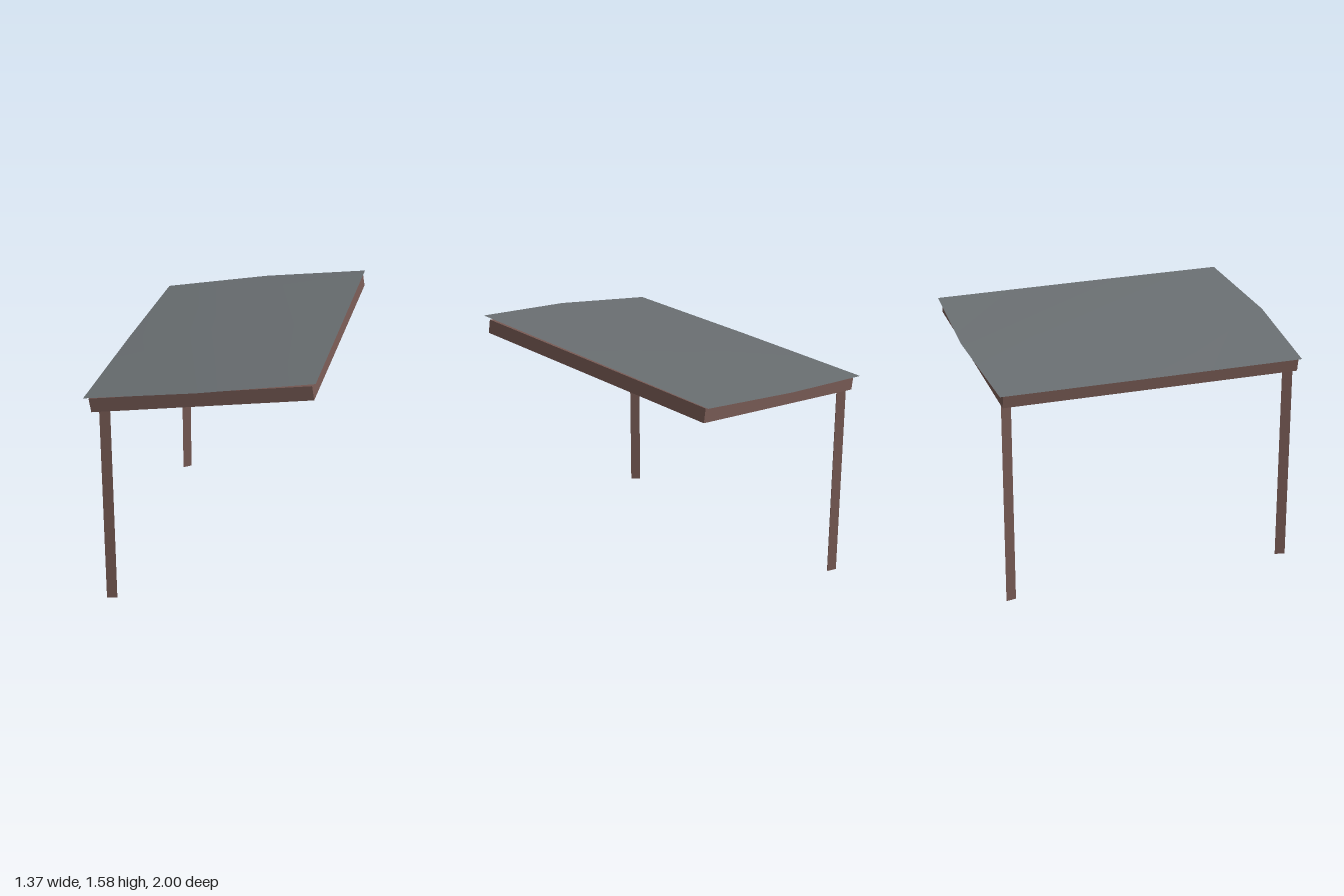
import * as THREE from 'three';

const wood = new THREE.MeshStandardMaterial({ color: 0x775a54, flatShading: true });
wood.name = 'brownWood';
const sheet = new THREE.MeshStandardMaterial({ color: 0x696e71, side: THREE.DoubleSide });
sheet.name = 'greySheet';

function addMesh(parent, name, geometry, material, x = 0, y = 0, z = 0) {
  const mesh = new THREE.Mesh(geometry, material);
  mesh.name = name;
  mesh.position.set(x, y, z);
  parent.add(mesh);
  return mesh;
}

// Thin sheet slightly bowed along its length and width: rows run low to high
function roofGeometry() {
  const points = [
    [-0.68, 1.34, -0.965], [-0.685, 1.342, 0], [-0.68, 1.342, 0.945],
    [0, 1.457, -1], [0, 1.478, 0], [0, 1.467, 1],
    [0.665, 1.56, -0.965], [0.673, 1.57, 0], [0.68, 1.577, 0.965],
  ];
  const index = [];
  for (let i = 0; i < 2; i++) {
    for (let j = 0; j < 2; j++) {
      const a = i * 3 + j, b = a + 1, c = a + 3, d = a + 4;
      index.push(a, b, d, a, d, c);
    }
  }
  const geometry = new THREE.BufferGeometry();
  geometry.setAttribute('position', new THREE.Float32BufferAttribute(points.flat(), 3));
  geometry.setIndex(index);
  geometry.computeVertexNormals();
  return geometry;
}

export function createModel() {
  const model = new THREE.Group();
  model.name = 'leanToShelter';

  addMesh(model, 'roofSheet', roofGeometry(), sheet);

  // Tilted rectangular frame
  const frame = new THREE.Group();
  frame.name = 'roofFrame';
  frame.position.set(0.01, 1.4025, 0);
  frame.rotation.z = Math.atan2(0.21, 1.305);
  model.add(frame);
  const length = 1.322, width = 1.875, height = 0.086, thick = 0.033;
  for (const s of [-1, 1]) {
    addMesh(frame, s < 0 ? 'lowBeam' : 'highBeam',
      new THREE.BoxGeometry(thick, height, width), wood, s * (length - thick) / 2, 0, 0);
    addMesh(frame, s < 0 ? 'backBeam' : 'frontBeam',
      new THREE.BoxGeometry(length - 2 * thick, height, thick), wood, 0, 0, s * (width - thick) / 2);
  }

  // Three-sided posts, one corner pointing outwards
  const postHeight = 1.268;
  for (const s of [-1, 1]) {
    const corner = s > 0 ? 138 : 230;
    const start = THREE.MathUtils.degToRad(90 - corner);
    addMesh(model, s > 0 ? 'frontPost' : 'backPost',
      new THREE.CylinderGeometry(0.037, 0.037, postHeight, 3, 1, false, start),
      wood, -0.563, postHeight / 2, s * 0.905);
  }
  return model;
}
